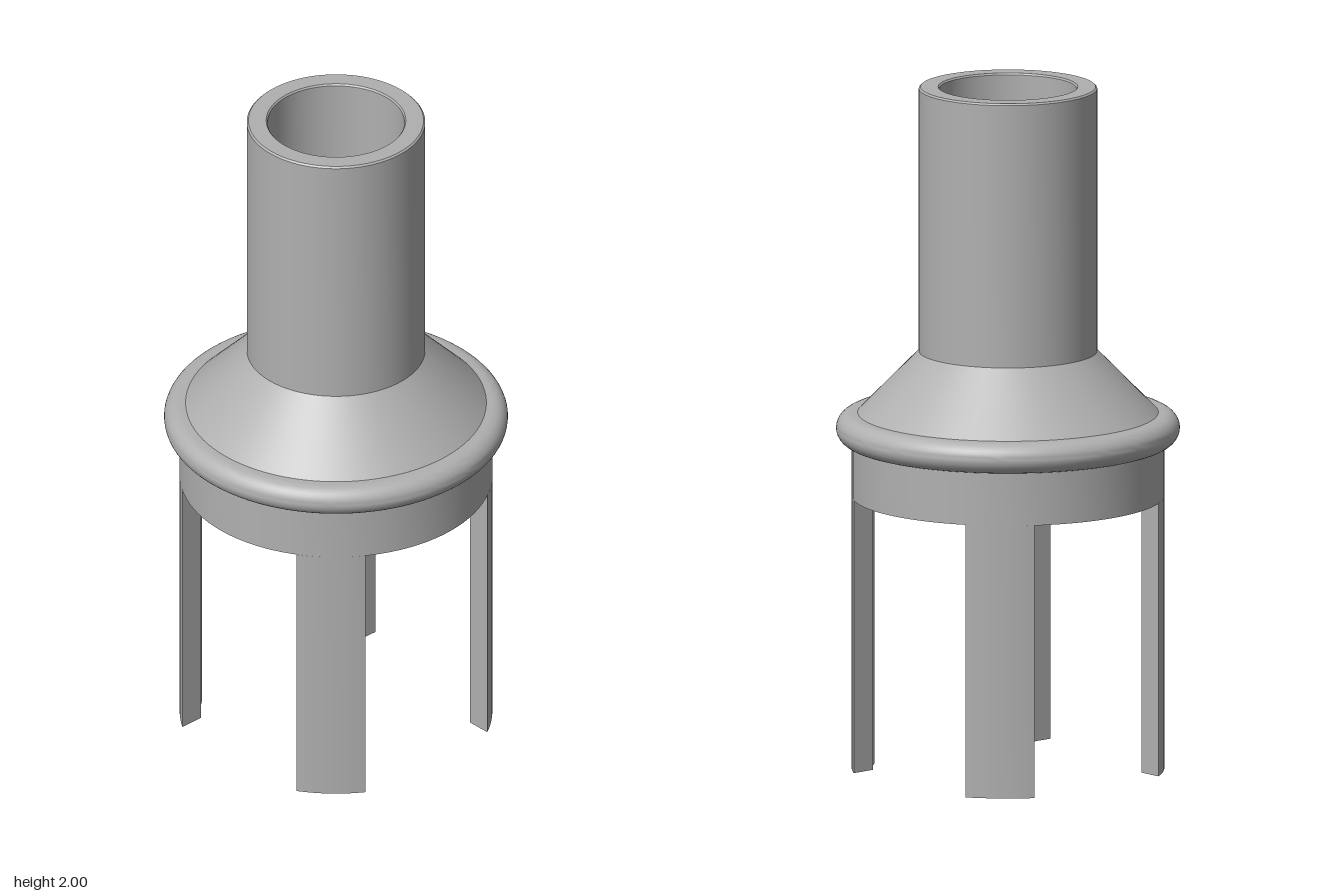
import * as THREE from 'three';
import { toCreasedNormals } from 'three/addons/utils/BufferGeometryUtils.js';

const grey = new THREE.MeshStandardMaterial({ color: 0xb0b0b0 });
grey.name = 'plain grey';

const SEGMENTS = 96;
const CREASE = Math.PI / 7;
const OUTER = 0.45, INNER = 0.39; // collar and leg radii
const SLOT = 0.24;                // half width of the slots between legs
const COLLAR_Y = 0.8, FLANGE_Y = 1.0, FLANGE_R = 0.045;
const BORE = 0.197, PIPE = 0.257, CONE_TOP = 1.225;

function part(name, geometry) {
  const mesh = new THREE.Mesh(toCreasedNormals(geometry, CREASE), grey);
  mesh.name = name;
  return mesh;
}

// Turned part from [radius, height] pairs, outside running upwards
function turned(name, profile) {
  const points = profile.map(([r, y]) => new THREE.Vector2(r, y));
  return part(name, new THREE.LatheGeometry(points, SEGMENTS));
}

export function createModel() {
  const model = new THREE.Group();
  model.name = 'slottedAdapter';
  const under = FLANGE_Y - FLANGE_R, over = FLANGE_Y + FLANGE_R;

  // Hollow collar with a flat ceiling around the bore
  model.add(turned('collar', [
    [BORE, under], [INNER, under], [INNER, COLLAR_Y], [OUTER, COLLAR_Y], [OUTER, under],
  ]));

  // Round-edged flange
  const rim = [];
  for (let i = 0; i <= 16; i++) {
    const a = -Math.PI / 2 + (Math.PI * i) / 16;
    rim.push([OUTER + FLANGE_R * Math.cos(a), FLANGE_Y + FLANGE_R * Math.sin(a)]);
  }
  model.add(turned('flange', [...rim, [0.433, over]]));

  // Conical shoulder
  model.add(turned('shoulder', [[0.433, over], [PIPE, CONE_TOP]]));

  // Pipe with lightly chamfered mouth and through bore
  model.add(turned('pipe', [
    [PIPE, CONE_TOP], [PIPE, 1.995], [PIPE - 0.005, 2],
    [BORE + 0.004, 2], [BORE, 1.995], [BORE, under],
  ]));

  // Four legs: ring segments left between two crossing slots
  const a = Math.asin(SLOT / OUTER), b = Math.asin(SLOT / INNER);
  const section = new THREE.Shape();
  section.absarc(0, 0, OUTER, a, Math.PI / 2 - a, false);
  section.absarc(0, 0, INNER, Math.PI / 2 - b, b, true);
  section.closePath();
  const legGeometry = new THREE.ExtrudeGeometry(section, {
    depth: COLLAR_Y, bevelEnabled: false, curveSegments: 12,
  });
  legGeometry.rotateX(-Math.PI / 2);
  for (let i = 0; i < 4; i++) {
    const leg = part('leg' + (i + 1), legGeometry);
    leg.rotation.y = (i * Math.PI) / 2;
    model.add(leg);
  }
  return model;
}
